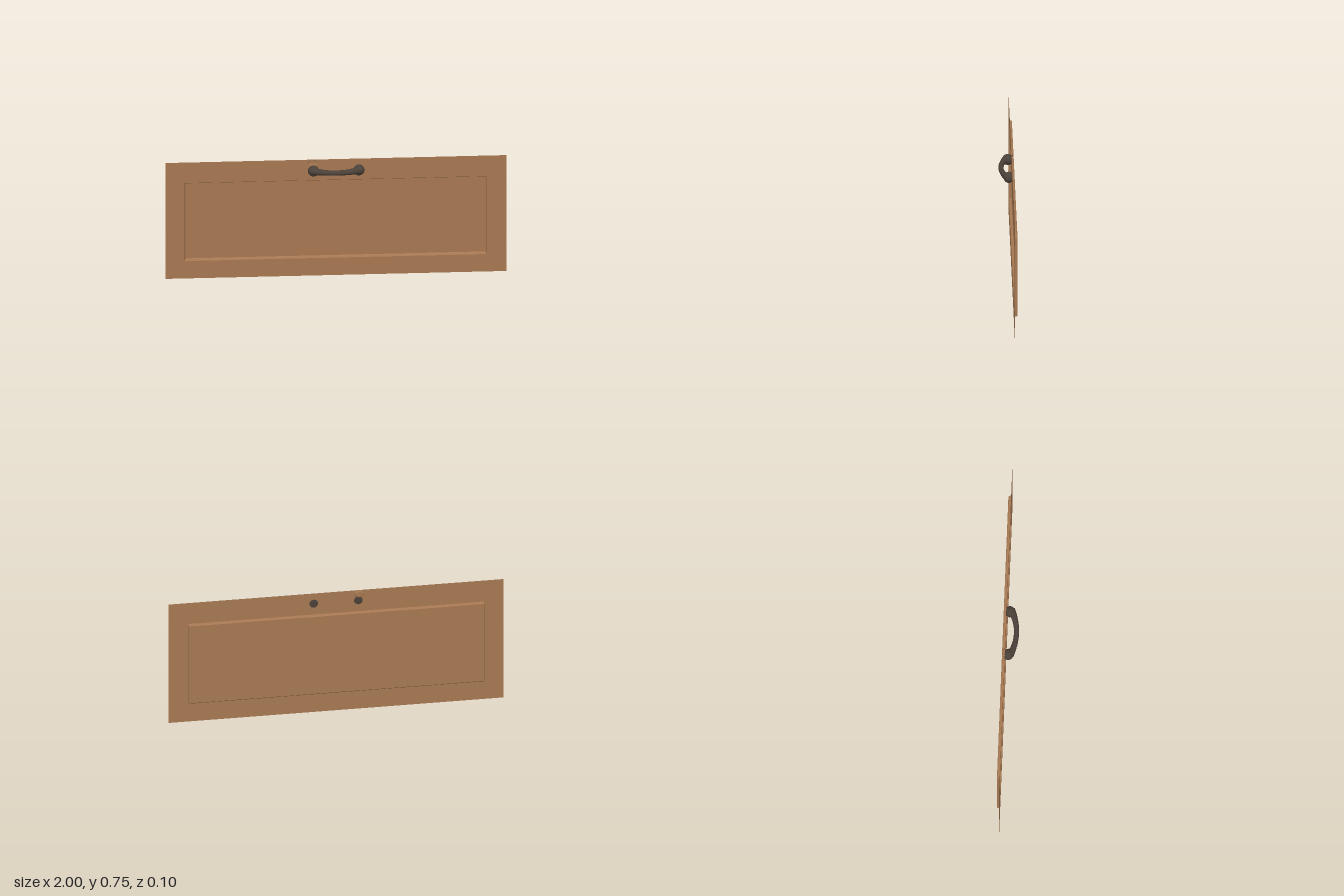
import * as THREE from 'three';

const FACE_Z = -0.03;

// Outline of a rectangle with clipped corners (clip = 0 gives four corners)
function outline(x0, x1, y0, y1, clip = 0) {
  if (!clip) return [[x0, y0], [x1, y0], [x1, y1], [x0, y1]];
  return [
    [x0 + clip, y0], [x1 - clip, y0], [x1, y0 + clip], [x1, y1 - clip],
    [x1 - clip, y1], [x0 + clip, y1], [x0, y1 - clip], [x0, y0 + clip],
  ];
}

// Pressed-in tray: rings of [inset, z] closed by a flat floor
function tray(points, rings) {
  const n = points.length;
  const cx = points.reduce((s, p) => s + p[0], 0) / n;
  const cy = points.reduce((s, p) => s + p[1], 0) / n;
  const loops = rings.map(([inset, z]) => points.map(([x, y]) =>
    [x - Math.sign(x - cx) * inset, y - Math.sign(y - cy) * inset, z]));
  const pos = [];
  for (let r = 0; r < loops.length - 1; r++) {
    for (let i = 0; i < n; i++) {
      const j = (i + 1) % n;
      const a = loops[r][i], b = loops[r][j], c = loops[r + 1][j], d = loops[r + 1][i];
      pos.push(...a, ...b, ...c, ...a, ...c, ...d);
    }
  }
  const floor = loops[loops.length - 1];
  for (let i = 1; i < n - 1; i++) pos.push(...floor[0], ...floor[i], ...floor[i + 1]);
  const g = new THREE.BufferGeometry();
  g.setAttribute('position', new THREE.Float32BufferAttribute(pos, 3));
  g.computeVertexNormals();
  return g;
}

export function createModel() {
  const group = new THREE.Group();
  const wood = new THREE.MeshStandardMaterial({ color: 0xa67852, side: THREE.DoubleSide });
  wood.name = 'brown wood';
  const metal = new THREE.MeshStandardMaterial({ color: 0x4a4139 });
  metal.name = 'dark bronze';
  const add = (name, geometry, material) => {
    const mesh = new THREE.Mesh(geometry, material);
    mesh.name = name;
    group.add(mesh);
    return mesh;
  };

  // Thin front sheet with openings for the recessed panel and the small dent
  const panelEdge = outline(-0.89, 0.885, 0.112, 0.615);
  const dentEdge = outline(-0.163, -0.113, 0.704, 0.744, 0.012);
  const toVectors = (pts) => pts.map((p) => new THREE.Vector2(...p));
  const sheet = new THREE.Shape(toVectors(outline(-1, 1, 0, 0.747)));
  for (const edge of [panelEdge, dentEdge]) sheet.holes.push(new THREE.Path(toVectors(edge)));
  const frame = add('frame', new THREE.ShapeGeometry(sheet), wood);
  frame.position.z = FACE_Z;

  // Recessed centre panel with softened edges
  add('recessedPanel', tray(panelEdge, [
    [0, FACE_Z], [0.003, -0.032], [0.005, -0.044], [0.009, -0.048],
  ]), wood);

  // Small dent beside the handle
  add('dent', tray(dentEdge, [[0, FACE_Z], [0.002, -0.039], [0.005, -0.042]]), wood);

  // Handle feet: rounded bells whose bases show through the back
  const handleY = 0.683;
  const bell = new THREE.SplineCurve(toVectors([
    [0.024, -0.032], [0.03, -0.022], [0.033, -0.01], [0.029, 0.004], [0.018, 0.015], [0, 0.02],
  ])).getPoints(16);
  bell[bell.length - 1].x = 0;
  const footGeometry = new THREE.LatheGeometry([new THREE.Vector2(0, -0.032), ...bell], 20);
  footGeometry.rotateX(Math.PI / 2);
  for (const [name, side] of [['handleFootLeft', 1], ['handleFootRight', -1]]) {
    add(name, footGeometry, metal).position.set(side * 0.133, handleY, 0);
  }

  // Curved grip: a tube that thickens towards the feet
  const path = new THREE.CatmullRomCurve3([
    [-0.142, -0.004], [-0.105, 0.014], [-0.055, 0.028], [0, 0.033],
    [0.055, 0.028], [0.105, 0.014], [0.142, -0.004],
  ].map(([x, z]) => new THREE.Vector3(x, 0, z)));
  const grip = new THREE.TubeGeometry(path, 40, 1, 14, false);
  const pos = grip.attributes.position;
  const v = new THREE.Vector3();
  for (let i = 0; i < pos.count; i++) {
    const t = Math.floor(i / 15) / 40;
    const centre = path.getPointAt(t);
    const radius = 0.0155 + 0.010 * Math.pow(Math.abs(2 * t - 1), 3);
    v.fromBufferAttribute(pos, i).sub(centre).multiplyScalar(radius).add(centre);
    pos.setXYZ(i, v.x, v.y, v.z);
  }
  grip.computeVertexNormals();
  add('handleGrip', grip, metal).position.y = handleY + 0.003;

  return group;
}
